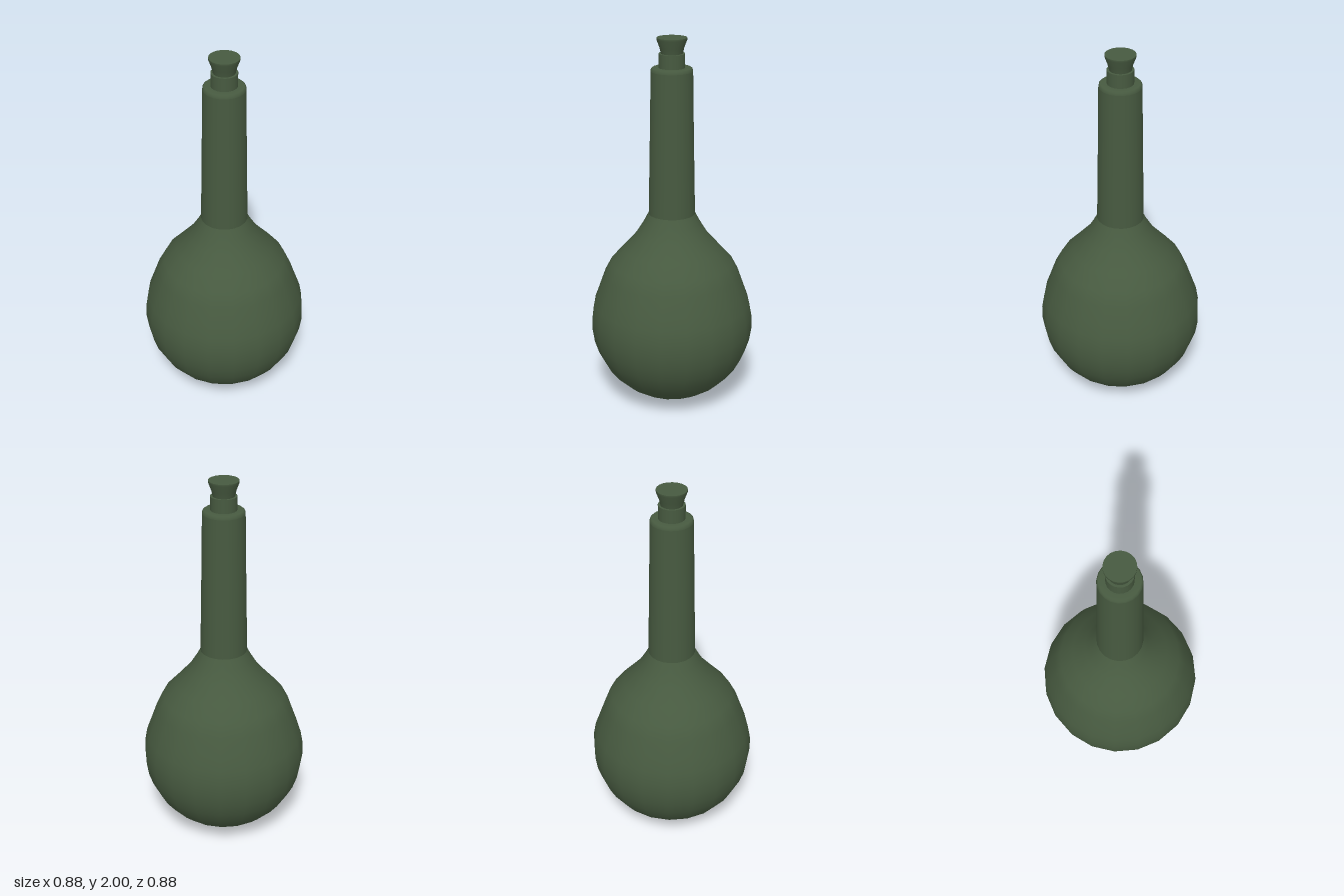
import * as THREE from 'three';

const SEGMENTS = 20;

export function createModel() {
  const group = new THREE.Group();
  group.name = 'flask';
  const material = new THREE.MeshStandardMaterial({ color: 0x475a40, side: THREE.DoubleSide });

  // Revolve a profile of [radius, height] pairs, listed from bottom to top
  const turn = (name, profile) => {
    const points = profile.map(([r, y]) => new THREE.Vector2(r, y));
    const mesh = new THREE.Mesh(new THREE.LatheGeometry(points, SEGMENTS), material);
    mesh.name = name;
    group.add(mesh);
  };

  // Bulb: a sphere up to just above its equator, then a concave shoulder
  const bulb = [];
  for (let i = 0; i <= 12; i++) {
    const a = (i / 12) * THREE.MathUtils.degToRad(115);
    bulb.push([0.44 * Math.sin(a), 0.45 - 0.44 * Math.cos(a)]);
  }
  bulb.push([0.365, 0.73], [0.328, 0.8], [0.26, 0.875], [0.19, 0.955], [0.15, 1.02], [0.124, 1.07]);
  turn('bulb', bulb);

  // Tapered neck with a slightly rounded, closed lip
  turn('neck', [[0.124, 1.07], [0.118, 1.35], [0.113, 1.6], [0.109, 1.83]]);
  turn('lip', [[0.109, 1.83], [0.107, 1.842], [0.1, 1.848], [0.068, 1.848]]);

  // Stopper collar and its flat top
  turn('collar', [[0.068, 1.84], [0.068, 1.92]]);
  turn('collarTop', [[0.068, 1.92], [0, 1.92]]);

  // Flared stopper and its flat top
  turn('stopper', [[0.056, 1.92], [0.063, 1.95], [0.078, 1.99], [0.078, 2]]);
  turn('stopperTop', [[0.078, 2], [0, 2]]);

  // Rest the base on the ground
  group.children.forEach((mesh) => {
    if (mesh.name === 'bulb') {
      const p = mesh.geometry.attributes.position;
      for (let i = 0; i < p.count; i++) if (p.getY(i) < 0.011) p.setY(i, 0);
    }
  });
  return group;
}
